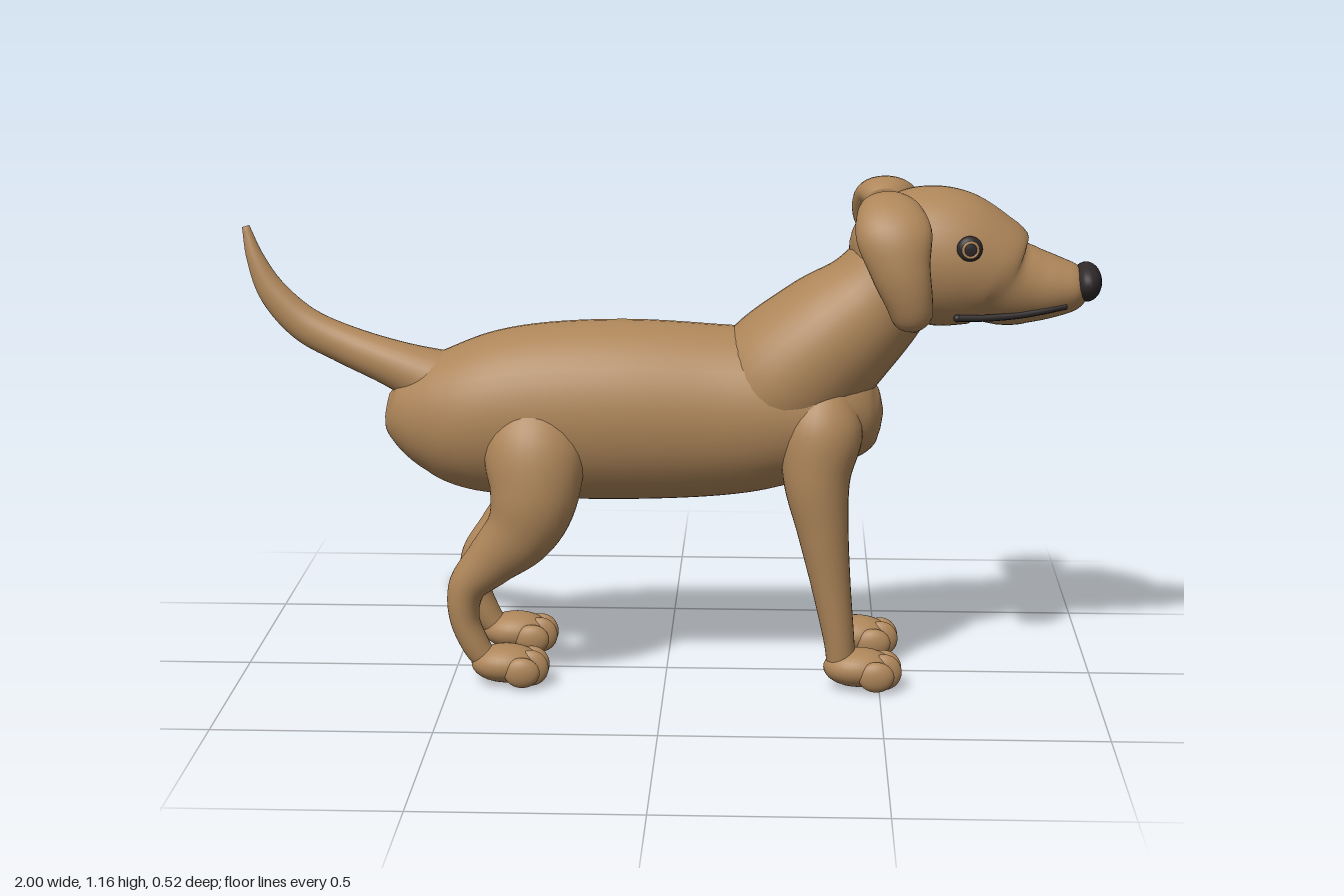
import * as THREE from 'three';

const fur = new THREE.MeshStandardMaterial({ color: 0xad8559 });
fur.name = 'tan fur';
const dark = new THREE.MeshStandardMaterial({ color: 0x2e2829 });
dark.name = 'dark nose and eyes';

const Z = new THREE.Vector3(0, 0, 1);
const X = new THREE.Vector3(1, 0, 0);

// Smooth closed loft through rings [x, y, z, half width along side, half height].
function loft(rings, side = Z, flip = 1, around = 28, steps = 6) {
  const path = new THREE.CatmullRomCurve3(
    rings.map((r) => new THREE.Vector3(r[0], r[1], r[2] * flip)), false, 'catmullrom');
  const size = new THREE.CatmullRomCurve3(
    rings.map((r) => new THREE.Vector3(r[3], r[4], 0)), false, 'catmullrom');
  const n = (rings.length - 1) * steps;
  const pos = [];
  const index = [];
  for (let i = 0; i <= n; i++) {
    const c = path.getPoint(i / n);
    const r = size.getPoint(i / n);
    const t = path.getTangent(i / n);
    const s = side.clone().addScaledVector(t, -side.dot(t)).normalize();
    const u = t.clone().cross(s);
    for (let j = 0; j < around; j++) {
      const a = (j / around) * Math.PI * 2;
      const p = c.clone()
        .addScaledVector(s, Math.cos(a) * Math.max(r.x, 0.002))
        .addScaledVector(u, Math.sin(a) * Math.max(r.y, 0.002));
      pos.push(p.x, p.y, p.z);
    }
  }
  for (let i = 0; i < n; i++) {
    for (let j = 0; j < around; j++) {
      const k = (j + 1) % around;
      const a = i * around + j, b = i * around + k;
      index.push(a, b, a + around, b, b + around, a + around);
    }
  }
  // end caps
  const start = pos.length / 3;
  const p0 = path.getPoint(0), p1 = path.getPoint(1);
  pos.push(p0.x, p0.y, p0.z, p1.x, p1.y, p1.z);
  for (let j = 0; j < around; j++) {
    const k = (j + 1) % around;
    index.push(start, k, j, start + 1, n * around + j, n * around + k);
  }
  const g = new THREE.BufferGeometry();
  g.setAttribute('position', new THREE.Float32BufferAttribute(pos, 3));
  g.setIndex(index);
  g.computeVertexNormals();
  return g;
}

export function createModel() {
  const dog = new THREE.Group();
  dog.name = 'dog';

  const add = (name, geometry, material = fur, parent = dog) => {
    const m = new THREE.Mesh(geometry, material);
    m.name = name;
    parent.add(m);
    return m;
  };
  const blob = (name, [x, y, z], [rx, ry, rz], material = fur, parent = dog) => {
    const m = add(name, new THREE.SphereGeometry(1, 28, 18), material, parent);
    m.position.set(x, y, z);
    m.scale.set(rx, ry, rz);
    return m;
  };

  // Torso, from rump to chest
  add('torso', loft([
    [-0.655, 0.635, 0, 0.02, 0.03], [-0.63, 0.63, 0, 0.07, 0.08],
    [-0.55, 0.62, 0, 0.125, 0.14], [-0.45, 0.615, 0, 0.16, 0.18],
    [-0.3, 0.625, 0, 0.175, 0.205], [-0.1, 0.63, 0, 0.18, 0.212],
    [0.1, 0.63, 0, 0.175, 0.203], [0.25, 0.635, 0, 0.175, 0.185],
    [0.38, 0.635, 0, 0.16, 0.145], [0.46, 0.63, 0, 0.115, 0.1],
    [0.492, 0.63, 0, 0.065, 0.055], [0.503, 0.63, 0, 0.01, 0.01],
  ], Z, 1, 40));

  add('neck', loft([
    [0.18, 0.62, 0, 0.15, 0.14], [0.27, 0.705, 0, 0.176, 0.168],
    [0.38, 0.805, 0, 0.168, 0.155], [0.475, 0.89, 0, 0.137, 0.13],
    [0.55, 0.99, 0, 0.12, 0.11],
  ], Z, 1, 36));

  // Skull tapering into the muzzle
  add('head', loft([
    [0.42, 1.02, 0, 0.01, 0.01], [0.445, 1.02, 0, 0.075, 0.07],
    [0.5, 1.012, 0, 0.125, 0.123], [0.58, 1.005, 0, 0.147, 0.155],
    [0.66, 0.99, 0, 0.15, 0.158], [0.74, 0.965, 0, 0.135, 0.132],
    [0.79, 0.94, 0, 0.11, 0.105], [0.84, 0.932, 0, 0.092, 0.088],
    [0.9, 0.928, 0, 0.079, 0.069], [0.945, 0.928, 0, 0.062, 0.05],
    [0.965, 0.93, 0, 0.025, 0.02],
  ], Z, 1, 36));

  blob('nose', [0.965, 0.94, 0], [0.035, 0.045, 0.073], dark);

  add('tail', loft([
    [-0.48, 0.67, 0, 0.1, 0.09], [-0.62, 0.727, 0, 0.06, 0.058],
    [-0.75, 0.772, -0.025, 0.042, 0.046], [-0.85, 0.818, -0.04, 0.034, 0.042],
    [-0.925, 0.89, -0.05, 0.027, 0.034], [-0.967, 0.97, -0.06, 0.019, 0.021],
    [-0.99, 1.045, -0.07, 0.008, 0.009],
  ]));

  // Paw with four toes, heel behind x
  const paw = (name, x, z) => {
    const g = new THREE.Group();
    g.name = name;
    dog.add(g);
    blob('pad', [x, 0.05, z], [0.082, 0.045, 0.06], fur, g);
    [-0.048, -0.017, 0.017, 0.048].forEach((dz, i) => {
      const inner = i === 1 || i === 2;
      blob('toe', [x + (inner ? 0.058 : 0.04), inner ? 0.043 : 0.04, z + dz],
        [0.042, inner ? 0.043 : 0.036, 0.02], fur, g);
    });
  };

  for (const s of [1, -1]) {
    add('frontLeg', loft([
      [0.37, 0.7, 0.09, 0.05, 0.06], [0.36, 0.61, 0.11, 0.083, 0.095],
      [0.35, 0.5, 0.125, 0.075, 0.078], [0.365, 0.38, 0.13, 0.062, 0.06],
      [0.385, 0.25, 0.132, 0.05, 0.046], [0.405, 0.12, 0.133, 0.042, 0.036],
      [0.412, 0.05, 0.133, 0.036, 0.033],
    ], Z, s));
    paw('frontPaw', 0.452, 0.134 * s);

    add('hindLeg', loft([
      [-0.3, 0.68, 0.08, 0.05, 0.07], [-0.3, 0.57, 0.125, 0.085, 0.115],
      [-0.3, 0.46, 0.15, 0.082, 0.103], [-0.33, 0.375, 0.15, 0.07, 0.085],
      [-0.4, 0.3, 0.14, 0.055, 0.062], [-0.458, 0.235, 0.135, 0.045, 0.045],
      [-0.467, 0.16, 0.133, 0.04, 0.035], [-0.44, 0.09, 0.133, 0.036, 0.032],
      [-0.41, 0.05, 0.133, 0.03, 0.028],
    ], Z, s));
    paw('hindPaw', -0.37, 0.134 * s);

    // Drooping ear
    add('ear', loft([
      [0.505, 1.11, 0.08, 0.04, 0.03], [0.505, 1.122, 0.135, 0.07, 0.042],
      [0.515, 1.075, 0.195, 0.085, 0.046], [0.53, 1.0, 0.213, 0.068, 0.046],
      [0.55, 0.93, 0.207, 0.054, 0.046], [0.561, 0.88, 0.193, 0.042, 0.038],
      [0.566, 0.856, 0.186, 0.008, 0.008],
    ], X, s));

    // Eye with a fur-coloured iris ring
    const eye = new THREE.Group();
    eye.name = 'eye';
    eye.position.set(0.687, 1.035, 0.138 * s);
    eye.rotation.y = 0.15 * s;
    dog.add(eye);
    blob('eyeball', [0, 0, 0], [0.03, 0.03, 0.017], dark, eye);
    const iris = add('iris', new THREE.TorusGeometry(0.017, 0.0035, 8, 24), fur, eye);
    iris.position.z = 0.0135 * s;

    // Mouth line
    const line = [[0.665, 0.87, 0.102], [0.74, 0.87, 0.092], [0.82, 0.876, 0.078], [0.915, 0.893, 0.06]]
      .map(([x, y, z]) => new THREE.Vector3(x, y, z * s));
    add('mouthLine', new THREE.TubeGeometry(new THREE.CatmullRomCurve3(line), 24, 0.008, 8), dark);
    blob('mouthCorner', [0.665, 0.87, 0.102 * s], [0.009, 0.009, 0.009], dark);
  }

  return dog;
}
